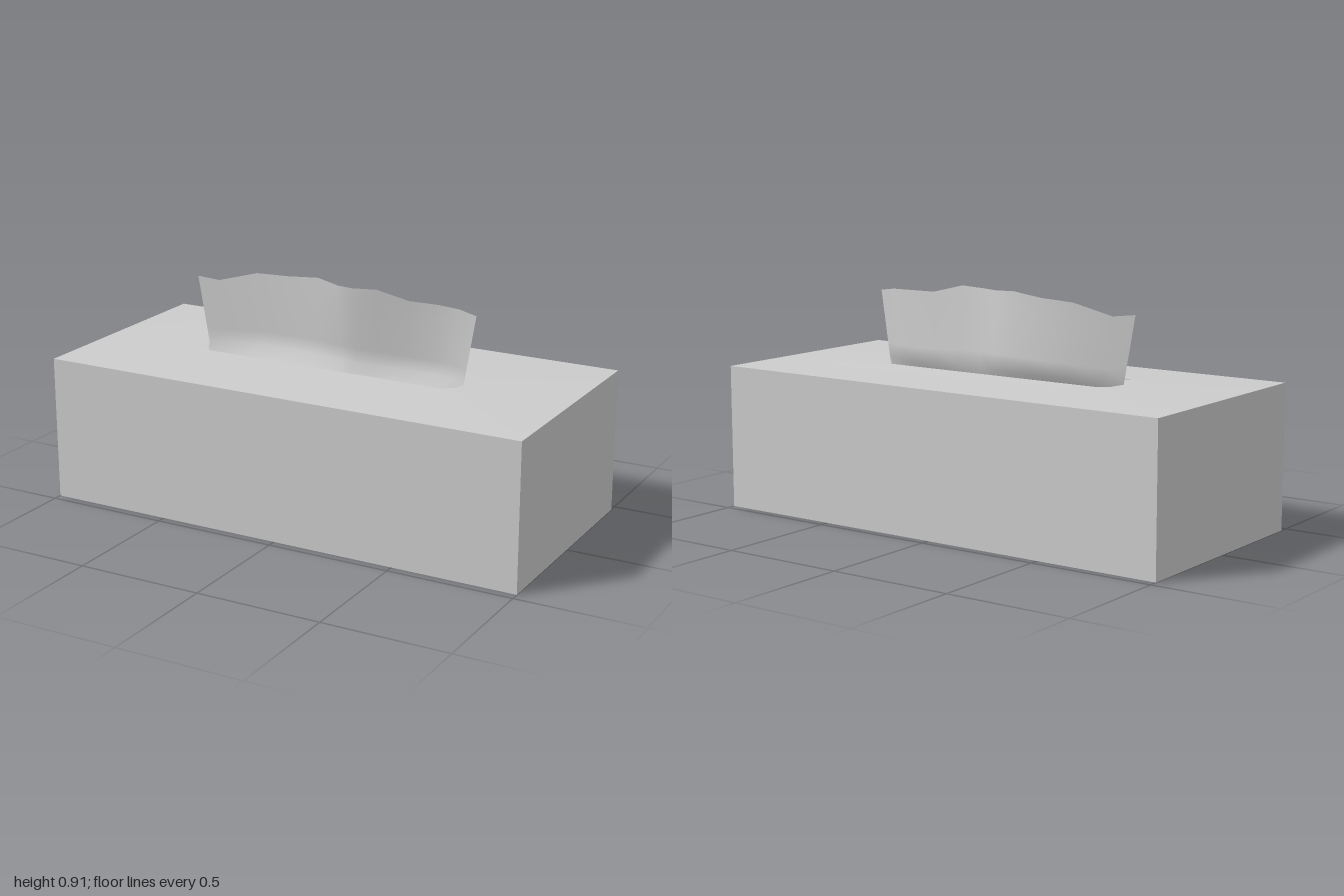
import * as THREE from 'three';

const W = 2, D = 0.93, RIM = 0.577, PEAK = 0.592, STACK = 0.53;

export function createModel() {
  const group = new THREE.Group();
  const card = new THREE.MeshStandardMaterial({ color: 0xcccccc, side: THREE.DoubleSide });
  const paper = new THREE.MeshStandardMaterial({ color: 0xf2f2f2, side: THREE.DoubleSide });
  const add = (name, geometry, material) => {
    const mesh = new THREE.Mesh(geometry, material);
    mesh.name = name;
    group.add(mesh);
    return mesh;
  };

  // Carton: a box without its top face
  const body = new THREE.BoxGeometry(W, RIM, D);
  const index = Array.from(body.index.array);
  index.splice(12, 6);
  body.setIndex(index);
  body.clearGroups();
  add('carton', body, card).position.y = RIM / 2;

  // Lid: card sheet with an octagonal-ended slot, rising slightly towards it
  const lidShape = new THREE.Shape([[-1, -1], [1, -1], [1, 1], [-1, 1]]
    .map(([x, y]) => new THREE.Vector2(x * W / 2, y * D / 2)));
  const end = [[0.52, -0.115], [0.565, -0.08], [0.58, 0], [0.565, 0.08], [0.52, 0.115]];
  const slot = [...end, ...end.map(([x, y]) => [-x, -y])];
  lidShape.holes.push(new THREE.Path(slot.map(([x, y]) => new THREE.Vector2(x, y + 0.003))));
  const lid = new THREE.ShapeGeometry(lidShape);
  lid.rotateX(-Math.PI / 2);
  const p = lid.attributes.position;
  for (let i = 0; i < p.count; i++) p.setY(i, Math.abs(p.getX(i)) > 0.9 ? RIM : PEAK);
  lid.computeVertexNormals();
  add('lid', lid, card);

  // Stack of folded tissues just below the slot
  add('tissueStack', new THREE.BoxGeometry(W - 0.04, STACK - 0.02, D - 0.04), paper)
    .position.y = STACK / 2 + 0.005;

  // Pulled tissue: columns of [top x, top y, top z, z at the slot]
  const columns = [
    [-0.62, 0.855, -0.005, 0.0], [-0.53, 0.845, -0.02, -0.015], [-0.37, 0.888, -0.045, -0.04],
    [-0.22, 0.895, -0.04, -0.04], [-0.08, 0.91, -0.025, -0.032], [0.03, 0.902, 0.015, -0.018],
    [0.1, 0.904, 0.03, -0.01], [0.2, 0.91, 0.024, -0.015], [0.33, 0.878, 0.005, -0.022],
    [0.45, 0.878, 0.0, -0.022], [0.54, 0.876, 0.012, -0.008], [0.62, 0.865, 0.03, 0.02],
  ];
  const rows = 6, n = columns.length;
  const vertices = [], faces = [];
  for (let r = 0; r <= rows; r++) {
    const t = (r - 1) / (rows - 1); // 0 at the slot, 1 at the free edge
    for (const [x, y, zTop, zSlot] of columns) {
      if (r === 0) vertices.push(x * 0.9, STACK - 0.01, 0.03);
      else vertices.push(
        x * (0.92 + 0.08 * t),
        THREE.MathUtils.lerp(0.595, y, t),
        THREE.MathUtils.lerp(zSlot, zTop, t));
    }
  }
  for (let r = 0; r < rows; r++) {
    for (let c = 0; c < n - 1; c++) {
      const a = r * n + c;
      faces.push(a, a + 1, a + n + 1, a, a + n + 1, a + n);
    }
  }
  const tissue = new THREE.BufferGeometry();
  tissue.setAttribute('position', new THREE.Float32BufferAttribute(vertices, 3));
  tissue.setIndex(faces);
  tissue.computeVertexNormals();
  add('pulledTissue', tissue, paper);

  return group;
}
